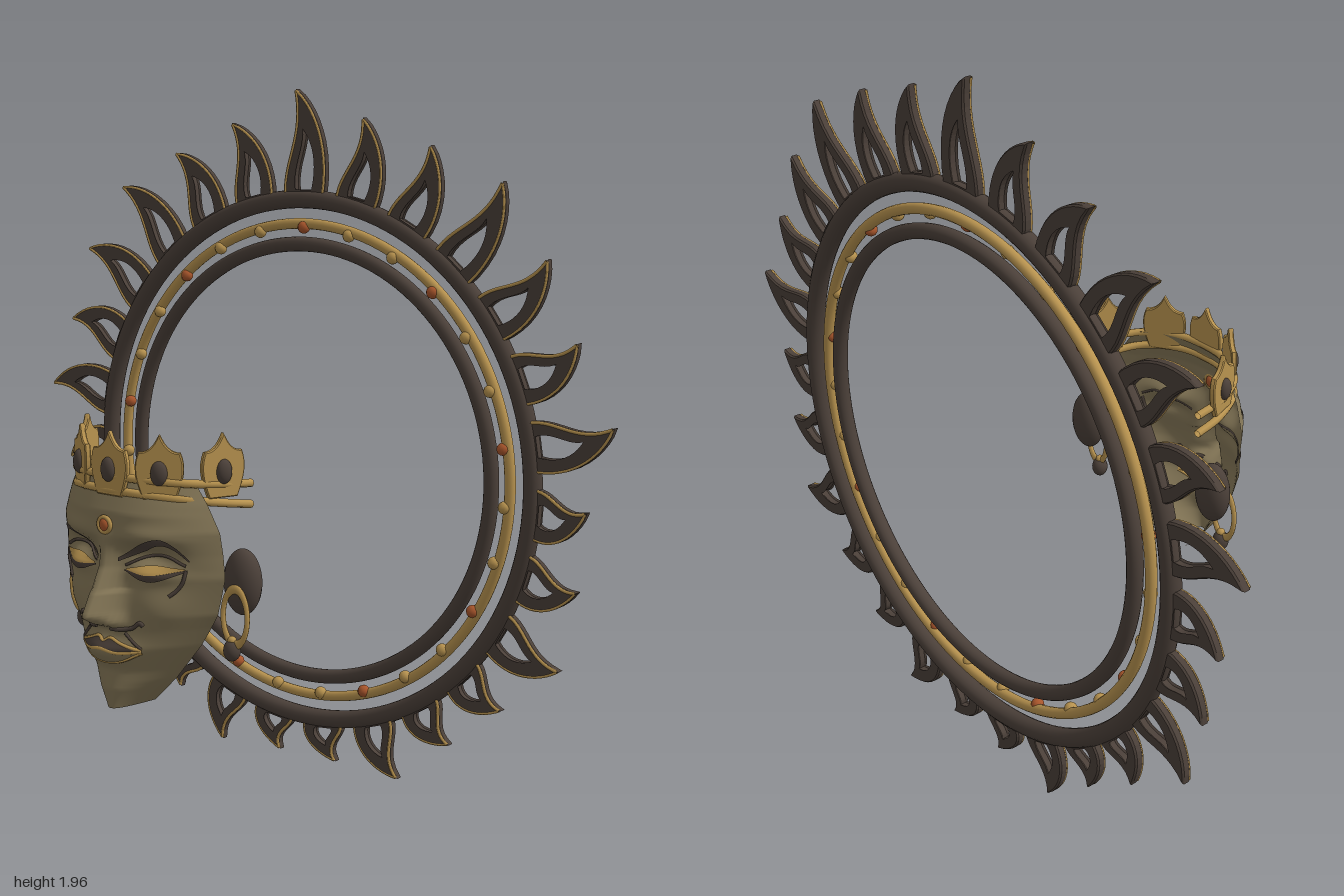
import * as THREE from 'three';

const paint = (name, color) => new THREE.MeshStandardMaterial({ name, color, side: THREE.DoubleSide });
const V = (x, y, z = 0) => new THREE.Vector3(x, y, z);
const gauss = (x, y, cx, cy, sx, sy) => Math.exp(-(((x - cx) / sx) ** 2) - ((y - cy) / sy) ** 2);

// Smooth interpolation through [y, value] pairs
function along(table, y) {
  let i = 0;
  while (i < table.length - 2 && y > table[i + 1][0]) i++;
  const [a, b] = [table[i], table[i + 1]];
  const t = THREE.MathUtils.clamp((y - a[0]) / (b[0] - a[0]), 0, 1);
  return a[1] + (b[1] - a[1]) * t;
}

// Face profiles by height
const WIDTH = [[0.375, 0.042], [0.45, 0.115], [0.55, 0.195], [0.64, 0.25], [0.74, 0.278], [0.86, 0.27], [0.93, 0.238], [0.99, 0.2]];
const FRONT = [[0.375, 0.372], [0.43, 0.38], [0.48, 0.372], [0.55, 0.385], [0.64, 0.375], [0.76, 0.36], [0.84, 0.382], [0.9, 0.382], [0.99, 0.345]];
const BACK = [[0.375, 0.24], [0.6, 0.23], [0.8, 0.24], [0.99, 0.268]];
const NOSE = [[0.595, 0], [0.615, 0.055], [0.637, 0.098], [0.66, 0.088], [0.79, 0.03], [0.86, 0]];

// Height of the mask surface at x, y
function faceZ(x, y) {
  const ax = Math.abs(x);
  const back = along(BACK, y);
  const k = Math.min(1, ax / along(WIDTH, y));
  const edge = 1 - k ** 6;
  let z = back + (along(FRONT, y) - back) * (1 - k ** 2.5);
  const ridge = y < 0.7 ? 0.036 : 0.028;
  z += along(NOSE, y) * Math.exp(-((ax / ridge) ** 2));
  z += edge * (0.022 * gauss(ax, y, 0.04, 0.617, 0.018, 0.018)
    + 0.024 * gauss(x, y, 0, 0.535, 0.075, 0.03)
    - 0.032 * gauss(ax, y, 0.115, 0.795, 0.06, 0.028)
    + 0.016 * gauss(ax, y, 0.128, 0.75, 0.06, 0.022)
    + 0.012 * gauss(ax, y, 0.12, 0.845, 0.08, 0.025)
    + 0.012 * gauss(ax, y, 0.15, 0.66, 0.06, 0.05));
  return z;
}

export function createModel() {
  const bronze = paint('bronze face', 0x867858);
  const dark = paint('dark metal', 0x4b4039);
  const gold = paint('gold', 0xb8934f);
  const red = paint('red stone', 0xa9562c);
  const model = new THREE.Group();

  const add = (parent, name, geometry, material, x = 0, y = 0, z = 0) => {
    const mesh = new THREE.Mesh(geometry, material);
    mesh.name = name;
    mesh.position.set(x, y, z);
    parent.add(mesh);
    return mesh;
  };
  const ball = (parent, name, material, p, r) =>
    add(parent, name, new THREE.SphereGeometry(1, 24, 16), material, ...p).scale.set(...r);
  const tube = (parent, name, material, points, r, seg = 32, sides = 6) =>
    add(parent, name, new THREE.TubeGeometry(new THREE.CatmullRomCurve3(points), seg, r, sides), material);

  // ---------- Halo ----------
  const halo = new THREE.Group();
  halo.name = 'halo';
  halo.position.set(0, 0.91, -0.453);
  model.add(halo);
  add(halo, 'outerRing', new THREE.TorusGeometry(0.759, 0.026, 16, 128), dark);
  add(halo, 'goldRing', new THREE.TorusGeometry(0.69, 0.015, 12, 128), gold);
  add(halo, 'innerRing', new THREE.TorusGeometry(0.632, 0.021, 16, 128), dark);

  // Tip radius of each flame in hundredths, clockwise from the top
  const tips = [106, 100, 100, 104, 100, 97, 101, 92, 93, 97, 91, 90, 94, 88, 88, 94, 89, 90, 97, 93, 93, 101, 98, 102, 104, 100, 100];
  tips.forEach((tip, i) => {
    const spoke = new THREE.Group();
    spoke.name = 'flame';
    spoke.rotation.z = (-i / tips.length) * Math.PI * 2;
    halo.add(spoke);

    const base = 0.765, L = tip / 100 - base;
    const shape = new THREE.Shape();
    shape.moveTo(-0.064, 0);
    shape.bezierCurveTo(-0.072, 0.35 * L, 0, 0.55 * L, -0.03, L);
    shape.bezierCurveTo(0.03, 0.85 * L, 0.09, 0.5 * L, 0.064, 0);
    const hole = new THREE.Path();
    hole.moveTo(-0.028, 0.02);
    hole.bezierCurveTo(-0.038, 0.3 * L, 0.002, 0.45 * L, -0.004, 0.64 * L);
    hole.bezierCurveTo(0.03, 0.52 * L, 0.048, 0.33 * L, 0.028, 0.02);
    hole.closePath();
    shape.holes.push(hole);
    add(spoke, 'flameBody', new THREE.ExtrudeGeometry(shape, {
      depth: 0.016, bevelThickness: 0.005, bevelSize: 0.004, bevelSegments: 1, curveSegments: 10,
    }), dark, 0, base, -0.008);

    // Gold edging on the front
    const rim = shape.getPoints(10).slice(0, 21).map((p) => V(p.x, p.y + base, 0.011));
    tube(spoke, 'flameEdgeLeft', gold, rim.slice(0, 11), 0.005, 14, 5);
    tube(spoke, 'flameEdgeRight', gold, rim.slice(10), 0.004, 14, 5);

    // Bead on the gold ring, every third one red
    add(spoke, 'bead', new THREE.SphereGeometry(0.018, 12, 8), i % 3 ? gold : red, 0, 0.68, 0.008);
  });

  // ---------- Face shell ----------
  const face = new THREE.Group();
  face.name = 'mask';
  model.add(face);
  const shell = new THREE.PlaneGeometry(2, 1, 80, 90);
  const pos = shell.attributes.position;
  for (let i = 0; i < pos.count; i++) {
    const y = 0.375 + (pos.getY(i) + 0.5) * 0.615;
    const x = along(WIDTH, y) * Math.sin(pos.getX(i) * Math.PI / 2);
    pos.setXYZ(i, x, y, faceZ(x, y));
  }
  shell.computeVertexNormals();
  add(face, 'faceShell', shell, bronze);

  // Lines and thin patches that follow the face
  const curve2 = (pts, s) => new THREE.CatmullRomCurve3(pts.map(([x, y]) => V(s * x, y)));
  const line = (name, material, pts, r, s = 1) =>
    tube(face, name, material, curve2(pts, s).getPoints(20).map((p) => V(p.x, p.y, faceZ(p.x, p.y) + 0.002)), r);
  const patch = (name, material, upper, lower, lift, s = 1) => {
    const a = curve2(s > 0 ? upper : [...upper].reverse(), s), b = curve2(s > 0 ? lower : [...lower].reverse(), s);
    const g = new THREE.PlaneGeometry(1, 1, 24, 6);
    const q = g.attributes.position;
    for (let i = 0; i < q.count; i++) {
      const t = q.getX(i) + 0.5;
      const p = b.getPoint(t).lerp(a.getPoint(t), q.getY(i) + 0.5);
      q.setXYZ(i, p.x, p.y, faceZ(p.x, p.y) + lift);
    }
    g.computeVertexNormals();
    add(face, name, g, material);
  };

  for (const s of [-1, 1]) {
    patch('eyebrow', dark, [[0.035, 0.785], [0.1, 0.825], [0.165, 0.845], [0.215, 0.79]],
      [[0.035, 0.775], [0.1, 0.805], [0.165, 0.828], [0.215, 0.785]], 0.006, s);
    line('eyelidCrease', dark, [[0.05, 0.765], [0.1, 0.79], [0.16, 0.795], [0.205, 0.775]], 0.004, s);
    patch('eyelid', gold, [[0.055, 0.758], [0.125, 0.772], [0.205, 0.768]],
      [[0.055, 0.754], [0.125, 0.748], [0.205, 0.764]], 0.005, s);
    patch('lashes', dark, [[0.05, 0.755], [0.125, 0.748], [0.21, 0.765]],
      [[0.05, 0.752], [0.125, 0.73], [0.21, 0.76]], 0.005, s);
    line('eyeCornerLine', dark, [[0.205, 0.765], [0.2, 0.735], [0.185, 0.71], [0.17, 0.695]], 0.005, s);
    line('moustache', dark, [[0.025, 0.6], [0.055, 0.6], [0.08, 0.605], [0.1, 0.62], [0.108, 0.612]], 0.006, s);
    line('mouthFold', dark, [[0.06, 0.59], [0.085, 0.565], [0.1, 0.55]], 0.004, s);
  }

  // Mouth
  const upperLip = [[-0.1, 0.545], [-0.05, 0.562], [-0.018, 0.572], [0, 0.562], [0.018, 0.572], [0.05, 0.562], [0.1, 0.545]];
  const seam = [[-0.1, 0.543], [-0.05, 0.538], [0, 0.545], [0.05, 0.538], [0.1, 0.543]];
  const lowerLip = [[-0.1, 0.54], [-0.05, 0.514], [0, 0.506], [0.05, 0.514], [0.1, 0.54]];
  patch('upperLip', dark, upperLip, seam, 0.006);
  patch('lowerLip', bronze, seam, lowerLip, 0.006);
  line('upperLipEdge', gold, upperLip, 0.005);
  line('mouthSeam', gold, seam, 0.006);
  line('lowerLipEdge', gold, lowerLip, 0.005);

  // Forehead jewel
  add(face, 'foreheadRing', new THREE.TorusGeometry(0.02, 0.006, 8, 24), gold, 0, 0.868, 0.387);
  ball(face, 'foreheadStone', red, [0, 0.868, 0.386], [0.016, 0.018, 0.012]);

  // ---------- Ears and earrings ----------
  for (const s of [-1, 1]) {
    ball(face, 'ear', dark, [s * 0.265, 0.715, 0.15], [0.055, 0.088, 0.042]);
    add(face, 'earringHoop', new THREE.TorusGeometry(0.04, 0.007, 8, 32), gold, s * 0.272, 0.63, 0.19).scale.y = 1.85;
    ball(face, 'earringCap', gold, [s * 0.262, 0.566, 0.19], [0.012, 0.012, 0.012]);
    ball(face, 'earringDrop', dark, [s * 0.262, 0.54, 0.19], [0.023, 0.029, 0.023]);
  }

  // ---------- Crown ----------
  const crown = new THREE.Group();
  crown.name = 'crown';
  model.add(crown);
  const half = [[0.25, 0.1], [0.24, 0.19], [0.195, 0.285], [0.1, 0.345]];
  const arc = [...half.map(([x, z]) => [-x, z]), [0, 0.362], ...[...half].reverse()];
  for (const [front, drop, name] of [[0.992, 0.1, 'upperBand'], [0.955, 0.17, 'lowerBand']]) {
    tube(crown, name, gold, arc.map(([x, z]) => V(x, front - drop * (0.362 - z), z)), 0.011, 64, 8);
  }

  // Pointed plates, each with a dark stone
  const leaf = new THREE.Shape();
  leaf.moveTo(-0.04, 0);
  leaf.bezierCurveTo(-0.06, 0.05, -0.066, 0.08, -0.052, 0.115);
  leaf.bezierCurveTo(-0.03, 0.115, -0.012, 0.13, 0, 0.16);
  leaf.bezierCurveTo(0.012, 0.13, 0.03, 0.115, 0.052, 0.115);
  leaf.bezierCurveTo(0.066, 0.08, 0.06, 0.05, 0.04, 0);
  leaf.closePath();
  const leafGeo = new THREE.ExtrudeGeometry(leaf, { depth: 0.01, bevelThickness: 0.003, bevelSize: 0.003, bevelSegments: 1, curveSegments: 8 });
  for (const [x, z, deg] of [[0, 0.362, 0], [0.134, 0.325, 32], [-0.134, 0.325, -32], [0.236, 0.2, 70], [-0.236, 0.2, -70]]) {
    const plate = new THREE.Group();
    plate.name = 'crownPlate';
    plate.position.set(x, 0.945, z);
    plate.rotation.y = THREE.MathUtils.degToRad(deg);
    crown.add(plate);
    add(plate, 'plate', leafGeo, gold, 0, 0, -0.004);
    ball(plate, 'plateStone', dark, [0, 0.065, 0.01], [0.022, 0.032, 0.016]);
  }
  return model;
}
